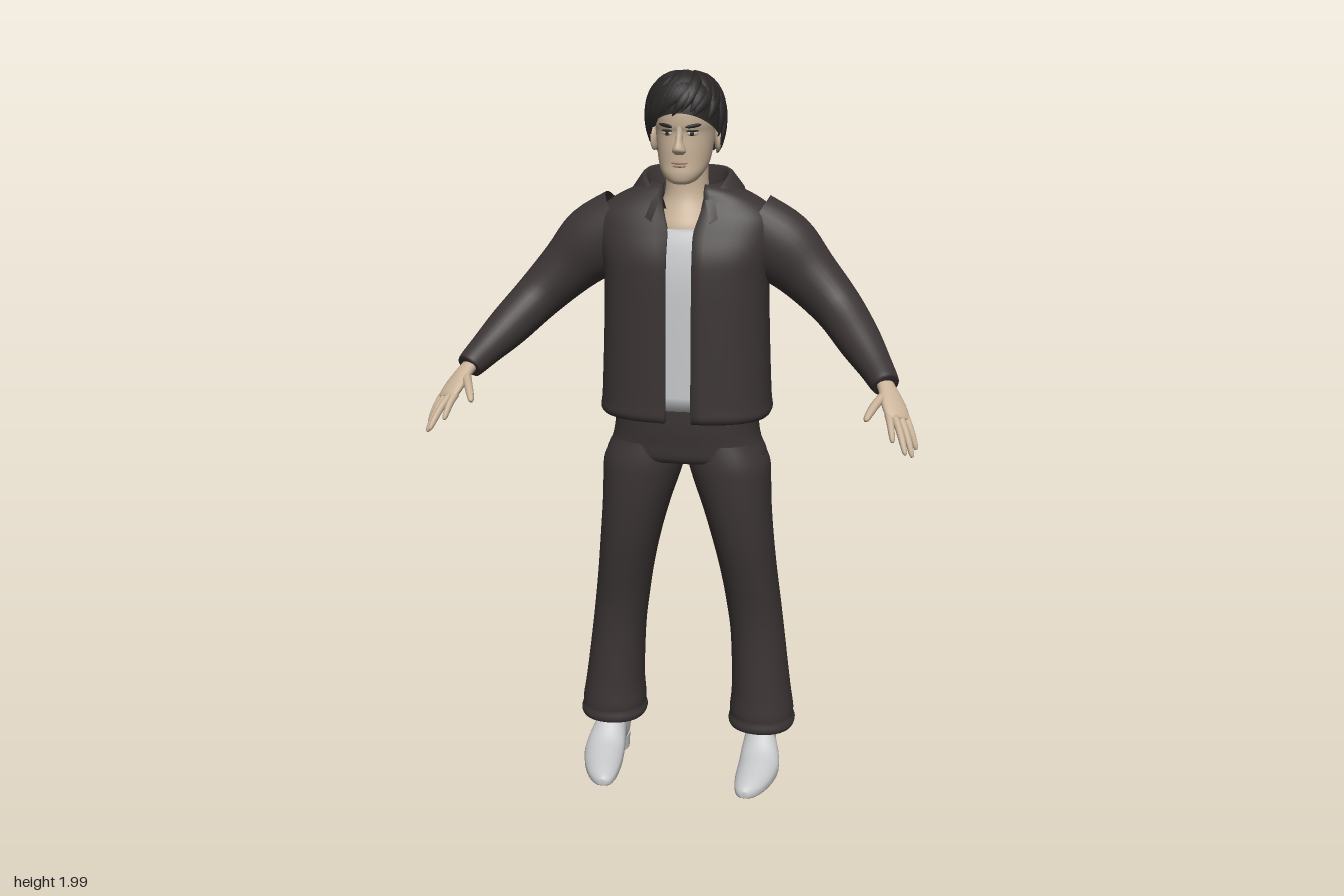
import * as THREE from 'three';

const V = (x, y, z) => new THREE.Vector3(x, y, z);
const material = (name, color, side = THREE.FrontSide) => {
  const m = new THREE.MeshStandardMaterial({ color, side });
  m.name = name;
  return m;
};

// Smooth surface through rows of points; each row runs anticlockwise about the direction of travel
function skin(rows, closed = true) {
  const n = rows[0].length, pos = [], idx = [];
  rows.forEach(r => r.forEach(p => pos.push(p.x, p.y, p.z)));
  for (let i = 0; i < rows.length - 1; i++)
    for (let j = 0; j < (closed ? n : n - 1); j++) {
      const k = (j + 1) % n, a = i * n + j, b = i * n + k, c = a + n, d = b + n;
      idx.push(a, b, c, b, d, c);
    }
  const g = new THREE.BufferGeometry();
  g.setAttribute('position', new THREE.Float32BufferAttribute(pos, 3));
  g.setIndex(idx);
  g.computeVertexNormals();
  return g;
}

// Close both ends of a set of rings
function capped(rows) {
  const mid = r => {
    const c = V(0, 0, 0);
    r.forEach(p => c.add(p));
    c.divideScalar(r.length);
    return r.map(() => c.clone());
  };
  return [mid(rows[0]), ...rows, mid(rows[rows.length - 1])];
}

// Catmull-Rom interpolation of section number lists
function smooth(s, steps = 4) {
  const out = [], at = i => s[Math.max(0, Math.min(s.length - 1, i))];
  for (let i = 0; i < s.length - 1; i++)
    for (let k = 0; k < steps; k++) {
      const t = k / steps;
      out.push(s[i].map((b, q) => {
        const a = at(i - 1)[q], c = at(i + 1)[q], d = at(i + 2)[q];
        return b + 0.5 * t * (c - a + t * (2 * a - 5 * b + 4 * c - d + t * (3 * (b - c) + d - a)));
      }));
    }
  out.push(s[s.length - 1]);
  return out;
}

const pw = (v, e) => Math.sign(v) * Math.pow(Math.abs(v), 2 / e);

// Horizontal sections [y, cx, cz, rx, rz], ordered upwards
const body = (sections, e = 2, n = 36) => smooth(sections).map(([y, cx, cz, rx, rz]) =>
  Array.from({ length: n }, (_, j) => {
    const a = j / n * Math.PI * 2;
    return V(cx + rx * pw(Math.sin(a), e), y, cz + rz * pw(Math.cos(a), e));
  }));

// Oval limb along [x, y, z, ru, rv]; rv lies along ref
function limb(sections, ref, n = 20, steps = 4) {
  const s = smooth(sections, steps), c = s.map(q => V(q[0], q[1], q[2]));
  return s.map((q, i) => {
    const d = c[Math.min(i + 1, c.length - 1)].clone().sub(c[Math.max(i - 1, 0)]).normalize();
    const v = ref.clone().addScaledVector(d, -ref.dot(d)).normalize(), u = v.clone().cross(d);
    return Array.from({ length: n }, (_, j) => {
      const a = j / n * Math.PI * 2;
      return c[i].clone().addScaledVector(u, Math.cos(a) * q[3]).addScaledVector(v, Math.sin(a) * q[4]);
    });
  });
}

function mirrored(g) {
  const m = g.clone().scale(-1, 1, 1), ix = m.index.array;
  for (let i = 0; i < ix.length; i += 3) [ix[i + 1], ix[i + 2]] = [ix[i + 2], ix[i + 1]];
  m.computeVertexNormals();
  return m;
}

export function createModel() {
  const model = new THREE.Group();
  model.name = 'man';
  const cloth = material('dark cloth', 0x3b3434, THREE.DoubleSide);
  const white = material('pale grey', 0xc6c7c9);
  const flesh = material('skin', 0xc8b298);
  const hairMat = material('hair', 0x2a2626, THREE.DoubleSide);
  const lipMat = material('lips', 0xa98a76);
  const eyeMat = material('eye white', 0xb9b2aa);
  const add = (name, g, m) => {
    const mesh = new THREE.Mesh(g, m);
    mesh.name = name;
    model.add(mesh);
  };
  const pair = (name, g, m) => {
    add('left ' + name, g, m);
    add('right ' + name, mirrored(g), m);
  };
  const blob = (x, y, z, rx, ry, rz, yaw = 0, roll = 0) =>
    new THREE.SphereGeometry(1, 16, 10).scale(rx, ry, rz).rotateZ(roll).rotateY(yaw).translate(x, y, z);

  // Trousers: seat, then legs with a tucked-in hem
  add('trouser seat', skin(capped(body([[0.94, 0, -0.115, 0.17, 0.085], [0.955, 0, -0.115, 0.222, 0.115],
    [1.0, 0, -0.118, 0.206, 0.124], [1.05, 0, -0.12, 0.198, 0.13], [1.12, 0, -0.118, 0.2, 0.128]], 2.5))), cloth);
  pair('trouser leg', skin(body([[0.15, 0.22, -0.135, 0.076, 0.08], [0.128, 0.22, -0.135, 0.09, 0.095],
    [0.14, 0.22, -0.135, 0.097, 0.101], [0.16, 0.22, -0.135, 0.092, 0.097], [0.18, 0.219, -0.136, 0.092, 0.098],
    [0.25, 0.216, -0.139, 0.084, 0.095], [0.4, 0.204, -0.142, 0.077, 0.092], [0.5, 0.192, -0.138, 0.077, 0.093],
    [0.6, 0.178, -0.128, 0.079, 0.1], [0.7, 0.162, -0.118, 0.085, 0.108], [0.8, 0.144, -0.115, 0.095, 0.116],
    [0.88, 0.129, -0.115, 0.107, 0.12], [0.94, 0.118, -0.115, 0.113, 0.12], [1.0, 0.1, -0.115, 0.1, 0.11]], 2.2)), cloth);

  // Shirt seen through the open jacket
  add('shirt', skin(capped(body([[1.105, 0, -0.115, 0.19, 0.142], [1.3, 0, -0.113, 0.19, 0.138],
    [1.45, 0, -0.112, 0.19, 0.132], [1.54, 0, -0.113, 0.17, 0.118], [1.588, 0, -0.12, 0.14, 0.107]], 2.5))), white);

  // Jacket body [y, cz, rx, rz, half opening], open at the front with turned-in edges
  const shell = smooth([[1.1, -0.115, 0.2, 0.13, 0.037], [1.072, -0.115, 0.218, 0.143, 0.037],
    [1.085, -0.115, 0.236, 0.157, 0.036], [1.13, -0.114, 0.232, 0.155, 0.035], [1.3, -0.112, 0.225, 0.149, 0.035],
    [1.45, -0.11, 0.222, 0.143, 0.035], [1.52, -0.112, 0.232, 0.137, 0.035], [1.58, -0.118, 0.243, 0.12, 0.035],
    [1.62, -0.12, 0.238, 0.104, 0.046], [1.655, -0.122, 0.2, 0.088, 0.055], [1.685, -0.123, 0.14, 0.08, 0.055],
    [1.7, -0.125, 0.09, 0.07, 0.055]]).map(([y, cz, rx, rz, gap]) => {
    const e = 2.6, a0 = Math.asin(Math.pow(gap / rx, e / 2)), n = 60;
    const row = Array.from({ length: n + 1 }, (_, j) => {
      const a = a0 + (2 * Math.PI - 2 * a0) * j / n;
      return V(rx * pw(Math.sin(a), e), y, cz + rz * pw(Math.cos(a), e));
    });
    const fold = p => p.clone().add(V(0, 0, -0.02));
    return [fold(row[0]), ...row, fold(row[n])];
  });
  add('jacket body', skin(shell, false), cloth);

  // Sleeves, bent at the elbow and ending in a tucked cuff
  pair('sleeve', skin(limb([[0.17, 1.585, -0.12, 0.098, 0.075], [0.255, 1.53, -0.12, 0.1, 0.08],
    [0.33, 1.46, -0.115, 0.08, 0.071], [0.41, 1.38, -0.09, 0.066, 0.066], [0.475, 1.31, -0.015, 0.057, 0.057],
    [0.52, 1.262, 0.05, 0.045, 0.046], [0.551, 1.228, 0.103, 0.036, 0.038], [0.548, 1.231, 0.098, 0.026, 0.028]], V(0, 0, 1), 28)), cloth);

  // Folded collar: inner foot, crest, outer edge and turned-under edge
  const collarRow = (rx, rz0, rz1, y0, drop, p) => Array.from({ length: 49 }, (_, j) => {
    const t = 2.62 * (1 - j / 24), f = (1 - Math.cos(t)) / 2;
    return V(rx * Math.sin(t), y0 - drop * Math.pow(f, p), -0.12 - (rz0 + rz1 * f) * Math.cos(t));
  });
  add('collar', skin([collarRow(0.085, 0.07, 0, 1.665, 0.05, 2), collarRow(0.106, 0.08, 0, 1.732, 0.085, 3),
    collarRow(0.114, 0.085, 0.002, 1.737, 0.085, 3), collarRow(0.123, 0.09, 0.01, 1.733, 0.088, 2.6),
    collarRow(0.154, 0.1, 0.034, 1.71, 0.11, 1.5), collarRow(0.148, 0.096, 0.03, 1.702, 0.108, 1.5),
    collarRow(0.12, 0.085, 0.02, 1.705, 0.1, 1.5)], false), cloth);

  // Neck and head
  add('neck', skin(capped(body([[1.54, 0, -0.11, 0.1, 0.095], [1.59, 0, -0.11, 0.095, 0.091],
    [1.625, 0, -0.112, 0.08, 0.077], [1.67, 0, -0.115, 0.06, 0.06], [1.73, 0, -0.112, 0.056, 0.056],
    [1.8, 0, -0.1, 0.056, 0.06]]))), flesh);
  add('head', skin(capped(body([[1.708, 0, -0.025, 0.022, 0.024], [1.716, 0, -0.033, 0.038, 0.041],
    [1.735, 0, -0.05, 0.055, 0.062], [1.76, 0, -0.07, 0.066, 0.08], [1.8, 0, -0.084, 0.073, 0.094],
    [1.838, 0, -0.091, 0.077, 0.1], [1.86, 0, -0.092, 0.08, 0.107], [1.9, 0, -0.093, 0.082, 0.106],
    [1.95, 0, -0.094, 0.07, 0.085], [1.975, 0, -0.094, 0.04, 0.05]], 2.15))), flesh);
  add('nose', skin(capped(body([[1.785, 0, 0.008, 0.01, 0.01], [1.793, 0, 0.01, 0.018, 0.024],
    [1.803, 0, 0.01, 0.016, 0.029], [1.82, 0, 0.008, 0.01, 0.021], [1.842, 0, 0.006, 0.009, 0.012],
    [1.862, 0, 0.004, 0.01, 0.01]], 2, 16))), flesh);
  pair('ear', blob(0.084, 1.815, -0.095, 0.009, 0.032, 0.02, 0.3), flesh);
  pair('eye', blob(0.033, 1.838, 0.001, 0.015, 0.006, 0.004, 0.45), eyeMat);
  pair('iris', blob(0.032, 1.838, 0.004, 0.006, 0.006, 0.003, 0.45), hairMat);
  pair('upper eyelid', blob(0.033, 1.845, 0.003, 0.017, 0.003, 0.004, 0.45), hairMat);
  pair('eyebrow', blob(0.036, 1.858, 0.005, 0.022, 0.005, 0.004, 0.5, 0.12), hairMat);
  add('upper lip', blob(0, 1.764, 0.009, 0.022, 0.004, 0.004), lipMat);
  add('lower lip', blob(0, 1.756, 0.009, 0.018, 0.004, 0.0045), lipMat);

  // Hair: a cap with a shaped hairline, covered by swept locks
  const hairPoint = (az, t, lift = 1) => {
    const c = Math.cos(az), phi = t * (c > 0 ? 2.2 - 0.72 * c : 2.2 - 0.8 * c);
    const s = lift * (phi < Math.PI / 2 ? Math.sin(phi) : 0.8 + 0.2 * Math.sin(phi));
    return V(0.094 * s * Math.sin(az), 1.88 + 0.107 * lift * Math.cos(phi), -0.09 + (c > 0 ? 0.108 : 0.115) * s * c);
  };
  add('hair cap', skin(Array.from({ length: 17 }, (_, i) => Array.from({ length: 48 }, (_, j) =>
    hairPoint(j / 48 * Math.PI * 2, 1 - i / 16)))), hairMat);
  let seed = 7;
  const rand = () => (seed = (seed * 16807) % 2147483647) / 2147483647;
  const locks = new THREE.Group();
  locks.name = 'hair locks';
  for (let k = 0; k < 84; k++) {
    const az = k * 2.39996, start = 0.08 + 0.4 * rand(), end = Math.min(1.1, start + 0.5 + 0.25 * rand());
    const front = Math.max(0, Math.cos(az)), sweep = -0.25 - 0.45 * front, path = [];
    for (let i = 0; i <= 5; i++) {
      const u = i / 5, p = hairPoint(az + sweep * (u - 0.5), start + (end - start) * u, 1.02 + 0.045 * Math.sin(u * 2.6));
      const w = [0.4, 0.85, 1, 0.9, 0.6, 0.12][i];
      path.push([p.x, p.y, p.z, 0.016 * w, 0.008 * w]);
    }
    const lock = new THREE.Mesh(skin(capped(limb(path,
      V(path[3][0], path[3][1] - 1.88, path[3][2] + 0.09).normalize(), 8, 2))), hairMat);
    lock.name = 'hair lock';
    locks.add(lock);
  }
  model.add(locks);

  // Hands: palm, four spread fingers and a thumb
  const across = V(0.85, -0.25, -0.45).normalize();
  pair('palm', skin(capped(limb([[0.54, 1.24, 0.085, 0.02, 0.024], [0.555, 1.222, 0.115, 0.018, 0.025],
    [0.572, 1.195, 0.148, 0.017, 0.034], [0.587, 1.168, 0.18, 0.014, 0.035], [0.592, 1.16, 0.19, 0.009, 0.03]], across))), flesh);
  [['index finger', [0.565, 1.172, 0.19], [0.58, 1.118, 0.248]], ['middle finger', [0.581, 1.167, 0.192], [0.613, 1.095, 0.27]],
    ['ring finger', [0.596, 1.162, 0.182], [0.63, 1.08, 0.24]], ['little finger', [0.608, 1.16, 0.168], [0.638, 1.088, 0.2]],
    ['thumb', [0.55, 1.208, 0.14], [0.51, 1.165, 0.23]]].forEach(([name, a, b]) => {
    const sections = [0, 0.35, 0.7, 0.93, 1].map((t, i) => {
      const r = (name === 'thumb' ? 1.25 : 1) * [0.0105, 0.0095, 0.0085, 0.0065, 0.003][i];
      return [...a.map((v, q) => v + (b[q] - v) * t + (q === 1 ? 0.03 * t * (1 - t) : 0)), r, r];
    });
    pair(name, skin(capped(limb(sections, across, 10, 3))), flesh);
  });

  // Shoes: sections [z, cx, half width, bottom, top] running heel to toe, plus a heel block
  const shoe = smooth([[-0.203, 0.22, 0.022, 0.04, 0.13], [-0.19, 0.22, 0.036, 0.025, 0.16], [-0.15, 0.22, 0.042, 0.022, 0.17],
    [-0.1, 0.222, 0.044, 0.025, 0.165], [-0.06, 0.226, 0.053, 0.018, 0.13], [-0.02, 0.228, 0.058, 0.006, 0.09],
    [0.03, 0.222, 0.054, 0.002, 0.07], [0.08, 0.213, 0.042, 0.003, 0.054], [0.11, 0.206, 0.026, 0.006, 0.041],
    [0.122, 0.204, 0.01, 0.012, 0.03]]).map(([z, cx, hw, y0, y1]) => Array.from({ length: 28 }, (_, j) => {
    const a = j / 28 * Math.PI * 2, s = Math.sin(a), e = s < 0 ? 3.5 : 2;
    return V(cx + hw * pw(Math.cos(a), e) * (s > 0 ? 1 - 0.12 * s : 1), (y0 + y1) / 2 + (y1 - y0) / 2 * pw(s, e), z);
  }));
  pair('shoe', skin(capped(shoe)), white);
  pair('shoe heel', new THREE.CylinderGeometry(1, 0.94, 0.045, 24).scale(0.043, 1, 0.055).translate(0.22, 0.0225, -0.142), white);

  return model;
}
